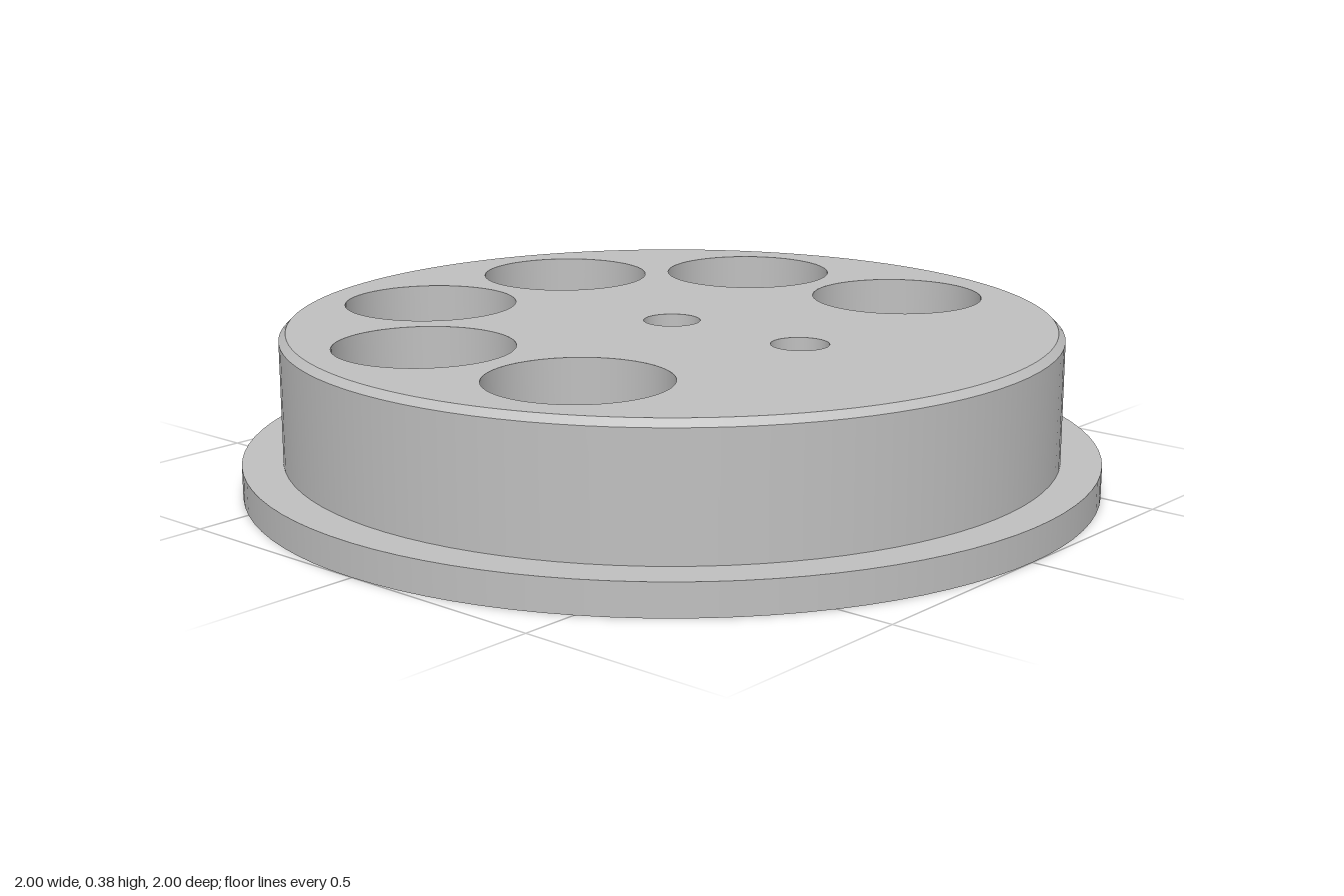
import * as THREE from 'three';

const SEG = 96;
const HEIGHT = 0.375;        // top face
const RECESS_TOP = 0.092;    // ceiling of the underside recess
const POCKET_FLOOR = 0.125;
const HOLE_R = 0.066;
const POCKET_R = 0.205;
const TOP_R = 0.89;
const RECESS_R = 0.52;

export function createModel() {
  const metal = new THREE.MeshStandardMaterial({ color: 0xbfbfbf });
  metal.name = 'plain grey metal';
  const model = new THREE.Group();
  model.name = 'pocketedFlangeDisc';

  const add = (name, geometry, x = 0, y = 0, z = 0) => {
    const mesh = new THREE.Mesh(geometry, metal);
    mesh.name = name;
    mesh.position.set(x, y, z);
    model.add(mesh);
  };

  // One smooth revolved face; going up faces outward, going down faces inward
  const turned = (name, r0, y0, r1, y1, x = 0, z = 0) =>
    add(name, new THREE.LatheGeometry([new THREE.Vector2(r0, y0), new THREE.Vector2(r1, y1)], SEG), x, 0, z);

  // Flat disc with round holes, facing up or down
  const disc = (name, radius, y, holes, up, x = 0, z = 0) => {
    const shape = new THREE.Shape().absarc(0, 0, radius, 0, Math.PI * 2, false);
    for (const h of holes) {
      shape.holes.push(new THREE.Path().absarc(h.x, up ? -h.z : h.z, h.r, 0, Math.PI * 2, true));
    }
    const geometry = new THREE.ShapeGeometry(shape, SEG);
    geometry.rotateX(up ? -Math.PI / 2 : Math.PI / 2);
    add(name, geometry, x, y, z);
  };

  // Two through holes and six blind pockets on a ring, spaced by 45 degrees
  const boltHoles = [{ x: 0, z: 0, r: HOLE_R }, { x: 0, z: 0.378, r: HOLE_R }];
  const pockets = [];
  for (let i = 0; i < 6; i++) {
    const a = THREE.MathUtils.degToRad(-22.5 + i * 45);
    pockets.push({ x: 0.614 * Math.cos(a), z: -0.614 * Math.sin(a), r: POCKET_R });
  }

  // Flange
  turned('flangeRim', 1, 0, 1, 0.075);
  turned('flangeTop', 1, 0.075, 0.906, 0.075);
  turned('flangeUnderside', RECESS_R, 0, 1, 0);

  // Raised body with a chamfered upper edge
  turned('bodyWall', 0.906, 0.075, 0.906, HEIGHT - 0.016);
  turned('bodyChamfer', 0.906, HEIGHT - 0.016, TOP_R, HEIGHT);
  disc('topFace', TOP_R, HEIGHT, [...boltHoles, ...pockets], true);

  // Recess under the disc
  turned('recessWall', RECESS_R, RECESS_TOP, RECESS_R, 0);
  disc('recessCeiling', RECESS_R, RECESS_TOP, boltHoles, false);

  // Hole and pocket linings
  for (const h of boltHoles) turned('holeWall', h.r, HEIGHT, h.r, RECESS_TOP, h.x, h.z);
  for (const p of pockets) {
    turned('pocketWall', p.r, HEIGHT, p.r, POCKET_FLOOR, p.x, p.z);
    disc('pocketFloor', p.r, POCKET_FLOOR, [], true, p.x, p.z);
  }
  return model;
}
